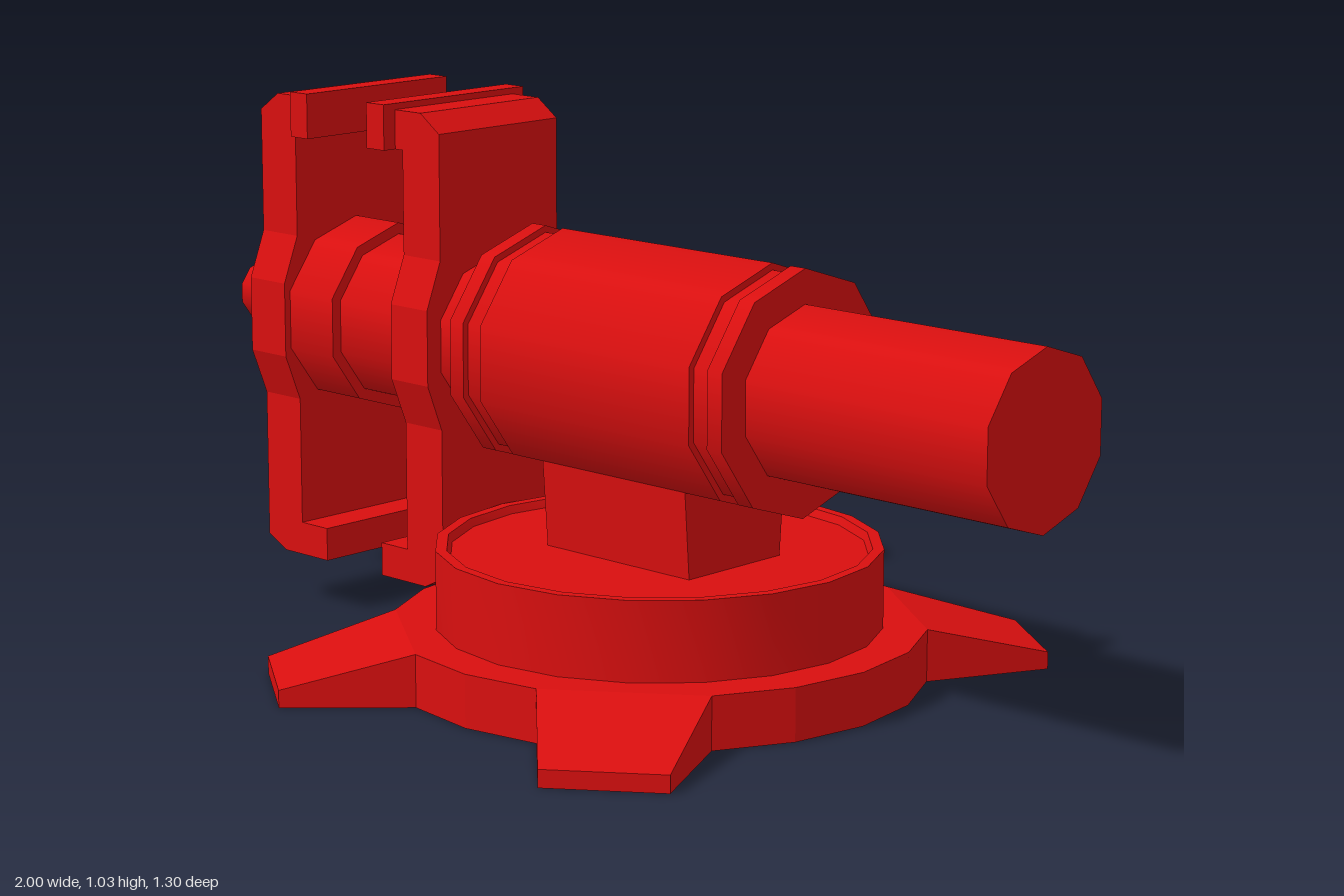
import * as THREE from 'three';
import { toCreasedNormals } from 'three/addons/utils/BufferGeometryUtils.js';

const AXIS_Y = 0.582, BASE_X = 0.11, SIDES = 20;

export function createModel() {
  const model = new THREE.Group();
  const red = new THREE.MeshStandardMaterial({ color: 0xd90f0f });
  const redShell = new THREE.MeshStandardMaterial({ color: 0xd90f0f, side: THREE.DoubleSide });

  function add(name, geometry, parent = model, material = red) {
    const mesh = new THREE.Mesh(geometry, material);
    mesh.name = name;
    parent.add(mesh);
    return mesh;
  }

  // Ten-sided round bar along x, with a corner at the top and bottom
  function barX(name, x0, x1, r) {
    const g = new THREE.CylinderGeometry(r, r, x1 - x0, 10, 1, false, Math.PI / 2);
    g.rotateZ(-Math.PI / 2).translate((x0 + x1) / 2, AXIS_Y, 0);
    add(name, g);
  }

  // Box given by its limits
  function box(name, x0, x1, y0, y1, halfZ, parent) {
    const g = new THREE.BoxGeometry(x1 - x0, y1 - y0, halfZ * 2);
    add(name, g.translate((x0 + x1) / 2, (y0 + y1) / 2, 0), parent);
  }

  const outline = (pts) => new THREE.Shape(pts.map(([x, y]) => new THREE.Vector2(x, y)));
  const extrude = (pts, depth) =>
    new THREE.ExtrudeGeometry(outline(pts), { depth, bevelEnabled: false });

  // Hollow base skirt with four sloping feet
  add('baseSkirt', skirtGeometry(), model, redShell).position.x = BASE_X;

  // Hollow turntable with a raised rim
  const rim = [[0.418, 0.1], [0.418, 0.25], [0.397, 0.25], [0.39, 0.235], [0, 0.235]];
  const table = new THREE.LatheGeometry(rim.map(([r, y]) => new THREE.Vector2(r, y)), SIDES);
  add('turntable', toCreasedNormals(table, 0.5), model, redShell).position.x = BASE_X;

  // Pedestal, slightly wider towards the top
  const pedestal = new THREE.BoxGeometry(0.36, 0.22, 2);
  const p = pedestal.attributes.position;
  for (let i = 0; i < p.count; i++) p.setZ(i, p.getZ(i) * (p.getY(i) > 0 ? 0.138 : 0.122));
  pedestal.computeVertexNormals();
  add('pedestal', pedestal).position.set(0.12, 0.34, 0);

  // Body, end collars and the sliding bar
  barX('slidingBar', -0.75, 1, 0.163);
  barX('bodyNeck', -0.2, 0.44, 0.2145);
  barX('body', -0.14, 0.385, 0.2275);
  barX('innerCollar', -0.22, -0.185, 0.2275);
  barX('outerCollar', 0.428, 0.463, 0.2275);
  barX('jawCollar', -0.72, -0.592, 0.185);

  // Screw and its cross handle
  barX('screw', -1, -0.78, 0.06);
  const handle = new THREE.Group();
  handle.name = 'handle';
  handle.position.set(-0.931, AXIS_Y, 0);
  model.add(handle);
  add('handleRod', new THREE.CylinderGeometry(0.017, 0.017, 0.59, 10), handle);
  for (const s of [-1, 1]) {
    add('handleKnob', new THREE.CylinderGeometry(0.024, 0.024, 0.024, 10), handle)
      .position.y = s * 0.296;
  }

  // Jaws, the second turned to face the first
  for (const [name, x, turn] of [['movingJaw', -0.815, 0], ['fixedJaw', -0.31, Math.PI]]) {
    const jaw = new THREE.Group();
    jaw.name = name;
    jaw.position.x = x;
    jaw.rotation.y = turn;
    model.add(jaw);

    // Upright plate, bulging around the bar
    const half = [[0.155, 0.17], [0.155, 0.42], [0.19, 0.51], [0.19, 0.655], [0.155, 0.745], [0.155, 0.945]];
    const plate = half.concat(half.slice().reverse().map(([z, y]) => [-z, y]));
    add('jawPlate', extrude(plate, 0.1).rotateY(Math.PI / 2), jaw);

    // Chamfered upper and lower hooks
    const upper = [[0, 0.945], [0.122, 0.945], [0.122, 1.02], [0.05, 1.02], [0, 0.985]];
    const lower = [[0, 0.17], [0, 0.13], [0.05, 0.105], [0.173, 0.105], [0.173, 0.17]];
    add('upperHook', extrude(upper, 0.31).translate(0, 0, -0.155), jaw);
    add('lowerHook', extrude(lower, 0.31).translate(0, 0, -0.155), jaw);
    box('gripPad', 0.12, 0.168, 0.945, 1.032, 0.184, jaw);
  }

  return model;
}

// Flange ring, outer walls and feet, open underneath
function skirtGeometry() {
  const pos = [];
  const quad = (a, b, c, d) => [a, b, c, a, c, d].forEach((v) => pos.push(...v));
  const wall = (a, b) => quad(a, b, [b[0], 0, b[2]], [a[0], 0, a[2]]);
  const step = (Math.PI * 2) / SIDES;
  const at = (i, r) => [r * Math.cos(i * step), 0.1, r * Math.sin(i * step)];
  const footAt = [3, 7, 13, 17];

  for (let i = 0; i < SIDES; i++) {
    if (footAt.includes(i)) continue;
    const foot = footAt.includes(i + 1);
    const j = foot ? i + 2 : i + 1;
    const a = at(i, 0.5), b = at(j, 0.5);
    quad(a, at(i, 0.418), at(j, 0.418), b);
    if (!foot) {
      wall(a, b);
      continue;
    }
    // Foot: slopes down to a low, narrower toe
    const t = (i + 1) * step, c = Math.cos(t), s = Math.sin(t);
    const toe = (w) => [0.72 * c - w * s, 0.033, 0.72 * s + w * c];
    const ta = toe(-0.113), tb = toe(0.113);
    quad(ta, a, b, tb);
    wall(a, ta);
    wall(ta, tb);
    wall(tb, b);
  }
  const g = new THREE.BufferGeometry();
  g.setAttribute('position', new THREE.Float32BufferAttribute(pos, 3));
  g.computeVertexNormals();
  return g;
}
